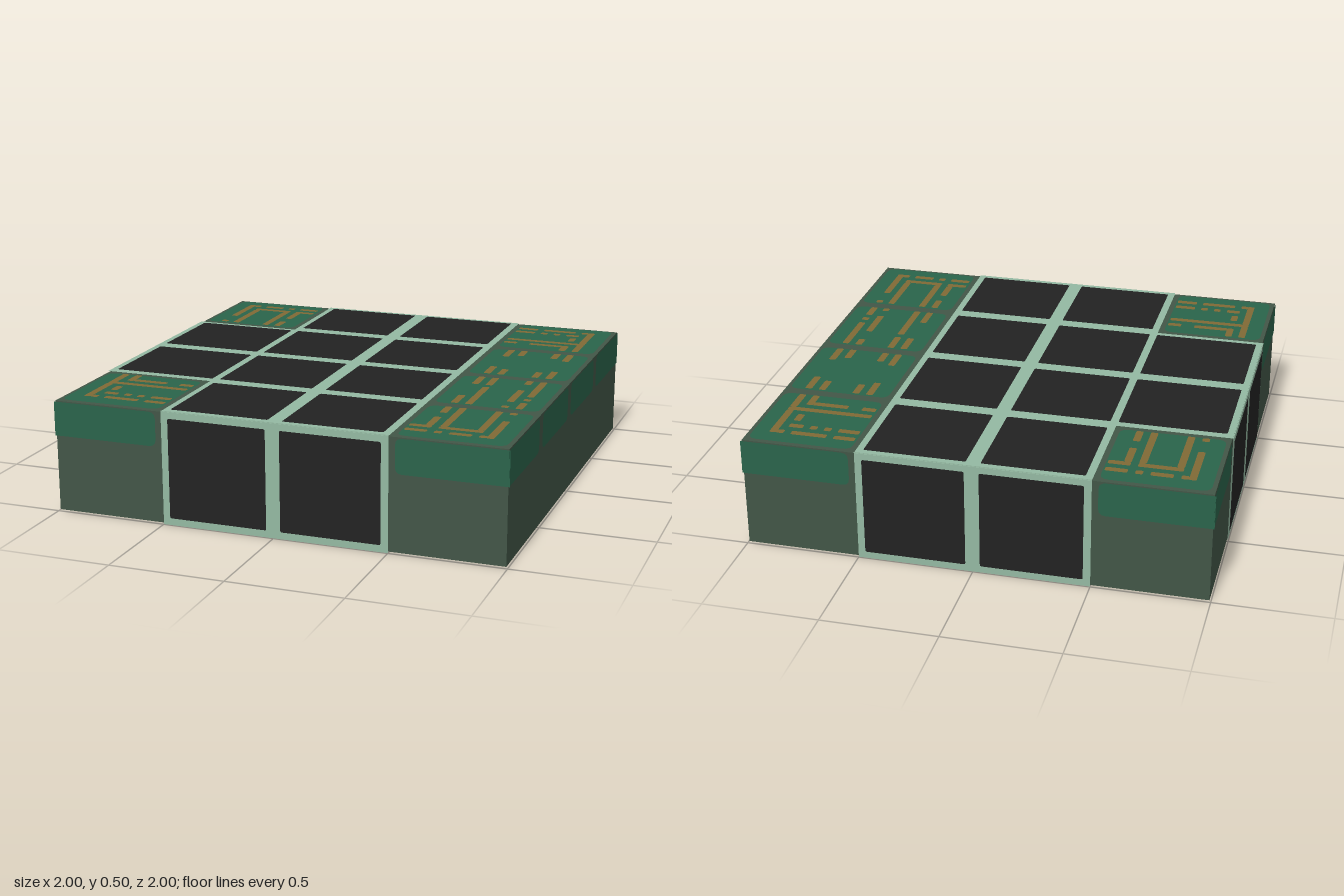
import * as THREE from 'three';

const mat = (name, color) => {
  const m = new THREE.MeshStandardMaterial({ color });
  m.name = name;
  return m;
};

export function createModel() {
  const casing = mat('grey green casing', 0x425647);
  const frame = mat('pale green frame', 0x94b9a2);
  const black = mat('black panel', 0x222222);
  const board = mat('circuit green', 0x2a644b);
  const copper = mat('copper', 0x806a35);
  const root = new THREE.Group();
  root.name = 'circuitSlab';
  const T = 0.5 / 16; // one trace width
  const GAP = 0.003; // spacing between painted layers

  // Slab body, just inside the painted layers
  const body = new THREE.Mesh(new THREE.BoxGeometry(2 - 4 * GAP, 0.5 - 4 * GAP, 2 - 4 * GAP), casing);
  body.name = 'slabBody';
  body.position.y = 0.25;
  root.add(body);

  // One group per face; local +z points outward
  const face = (name, rx, ry, pos) => {
    const g = new THREE.Group();
    g.name = name;
    g.rotation.set(rx, ry, 0);
    g.position.set(...pos);
    root.add(g);
    return g;
  };
  const H = Math.PI / 2;
  const top = face('topFace', -H, 0, [0, 0.5, 0]);
  const bottom = face('bottomFace', H, 0, [0, 0, 0]);
  const front = face('frontFace', 0, 0, [0, 0, 1]);
  const back = face('backFace', 0, Math.PI, [0, 0, -1]);
  const leftSide = face('leftSide', 0, H, [1, 0, 0]);
  const rightSide = face('rightSide', 0, -H, [-1, 0, 0]);

  // Flat plate with cut corners; corners at the slab's ends stay square
  const plate = (g, name, material, x0, y0, x1, y1, r, layer) => {
    const a = x0 <= -0.99 ? 0 : r, b = x1 >= 0.99 ? 0 : r;
    const s = new THREE.Shape();
    s.moveTo(x0 + a, y0);
    s.lineTo(x1 - b, y0);
    s.quadraticCurveTo(x1, y0, x1, y0 + b);
    s.lineTo(x1, y1 - b);
    s.quadraticCurveTo(x1, y1, x1 - b, y1);
    s.lineTo(x0 + a, y1);
    s.quadraticCurveTo(x0, y1, x0, y1 - a);
    s.lineTo(x0, y0 + a);
    s.quadraticCurveTo(x0, y0, x0 + a, y0);
    const m = new THREE.Mesh(new THREE.ShapeGeometry(s, 3), material);
    m.name = name;
    m.position.z = -layer * GAP;
    g.add(m);
  };

  // Pale frame and black panels on top and bottom
  for (const g of [top, bottom]) {
    plate(g, 'frameStrip', frame, -0.5, -1, 0.5, 1, 0, 1);
    plate(g, 'frameWing', frame, -1, -0.5, -0.5, 0.5, 0, 1);
    for (let c = 0; c < 3; c++) {
      for (let r = 0; r < 4; r++) {
        if (c === 0 && (r === 0 || r === 3)) continue;
        const x = -1 + c * 0.5, y = -1 + r * 0.5;
        plate(g, 'blackPanel', black, x + T, y + T, x + 0.5 - (c ? T : 0.003), y + 0.5 - T, 0.008, 0);
      }
    }
  }

  // Panels and green bands on the sides
  for (const g of [front, back, rightSide]) {
    plate(g, 'sideFrame', frame, -0.5, 0, 0.5, 0.5, 0, 1);
    for (const x of [-0.5, 0]) plate(g, 'sidePanel', black, x + T, T, x + 0.5 - T, 0.5 - T, 0.008, 0);
  }
  for (const g of [front, back, rightSide, leftSide]) {
    const cells = g === leftSide ? [-1, -0.5, 0, 0.5] : [-1, 0.5];
    for (const x of cells) {
      const x0 = x === -1 ? -1 : x + 0.027, x1 = x === 0.5 ? 1 : x + 0.473;
      plate(g, 'greenBand', board, x0, 0.34, x1, 0.49, 0.03, 1);
    }
  }

  // Traces as [column, row, last column, last row] on a 16 x 16 cell
  const cornerA = [
    [3, 3, 3, 10], [4, 3, 4, 3], [6, 3, 8, 3], [10, 3, 10, 3], [12, 3, 14, 3],
    [5, 5, 10, 5], [12, 5, 14, 5], [5, 6, 5, 14], [10, 6, 10, 14],
    [12, 6, 12, 9], [12, 12, 12, 14], [3, 14, 3, 14],
  ];
  const cornerB = [
    [3, 1, 3, 4], [3, 5, 14, 5], [3, 6, 3, 12], [4, 12, 4, 12], [6, 12, 10, 12], [12, 12, 14, 12],
    [5, 1, 5, 3], [6, 3, 10, 3], [13, 3, 14, 3], [5, 7, 5, 8],
    [5, 10, 6, 10], [8, 10, 8, 10], [10, 10, 10, 10], [12, 10, 14, 10],
  ];
  const edgeA = [
    [3, 1, 3, 4], [5, 1, 5, 3], [10, 1, 10, 3], [12, 1, 12, 4],
    [3, 11, 3, 14], [5, 12, 5, 14], [10, 12, 10, 14], [12, 11, 12, 14],
  ];
  const edgeB = [
    [3, 1, 3, 4], [3, 11, 3, 14], [5, 1, 5, 4], [5, 6, 5, 14],
    [10, 1, 10, 2], [10, 6, 10, 11], [10, 14, 10, 14],
    [12, 1, 12, 8], [12, 10, 12, 10], [12, 12, 12, 14],
  ];

  // Circuit cell on top; turned cells are rotated half a turn
  const circuit = (x, z, traces, turned) => {
    const m = 0.024;
    plate(top, 'circuitBoard', board, x + m, -z - 0.5 + m, x + 0.5 - m, -z - m, 0.04, 1);
    for (const t of traces) {
      const [c0, r0, c1, r1] = turned ? [15 - t[2], 15 - t[3], 15 - t[0], 15 - t[1]] : t;
      plate(top, 'copperTrace', copper, x + c0 * T, -z - (r1 + 1) * T, x + (c1 + 1) * T, -z - r0 * T, 0.008, 0);
    }
  };
  circuit(-1, -1, cornerA, false);
  circuit(0.5, 0.5, cornerA, true);
  circuit(-1, 0.5, cornerB, false);
  circuit(0.5, -1, cornerB, true);
  circuit(0.5, -0.5, edgeA, false);
  circuit(0.5, 0, edgeB, false);

  return root;
}
